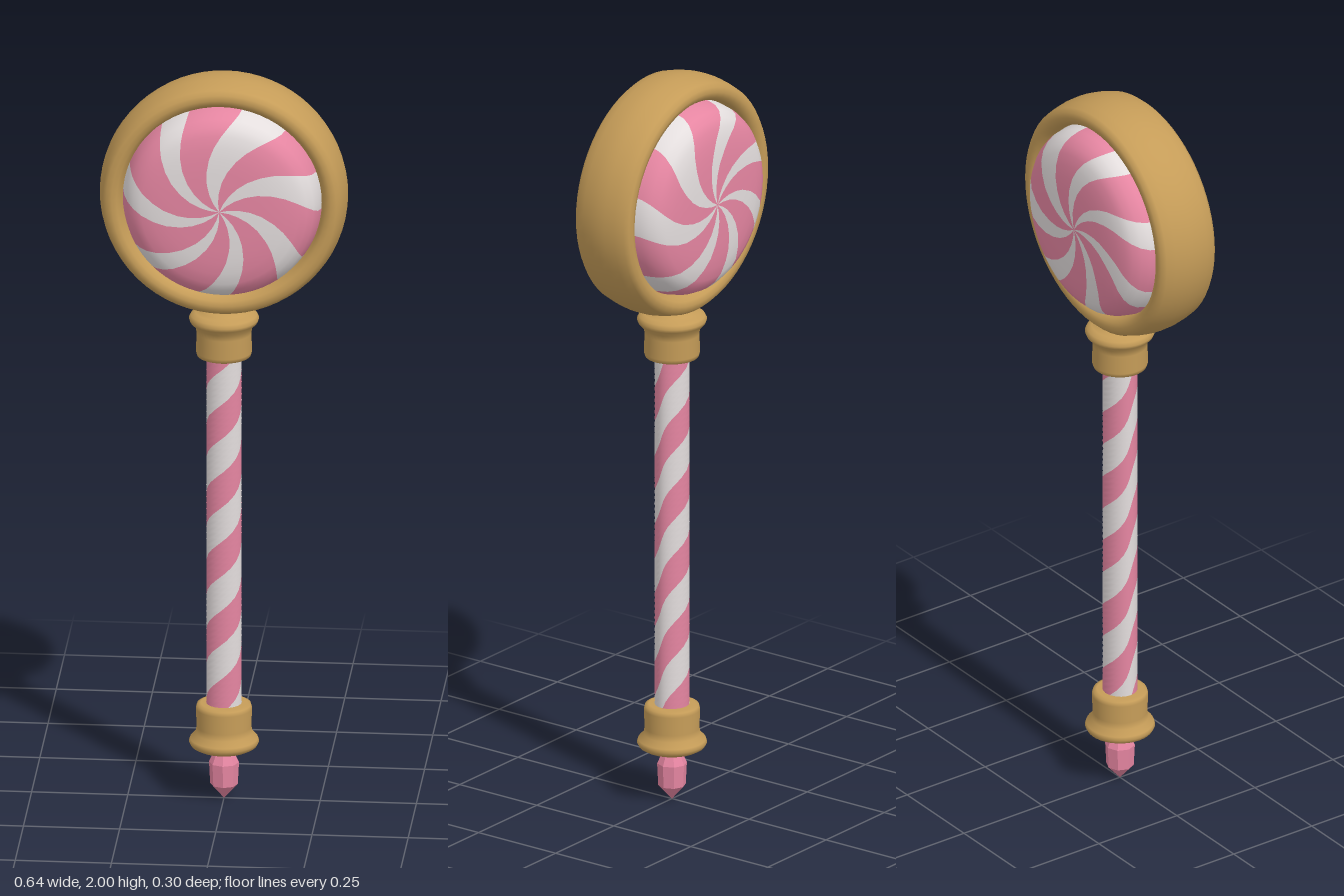
import * as THREE from 'three';

const pink = new THREE.MeshStandardMaterial({ color: 0xe686a2 });
const white = new THREE.MeshStandardMaterial({ color: 0xe4dede });
const gold = new THREE.MeshStandardMaterial({ color: 0xc59c58 });
pink.name = 'candyPink';
white.name = 'creamWhite';
gold.name = 'warmGold';

const rad = THREE.MathUtils.degToRad;

// Surface of revolution around z, cut into coloured stripes that turn from row to row.
// rows: [radius, z]; edges: ascending stripe borders, pink first and then alternating.
function stripedLathe(rows, edges, turn) {
  const steps = 6, angles = [];
  edges.forEach((e, i) => {
    const next = i + 1 < edges.length ? edges[i + 1] : edges[0] + Math.PI * 2;
    for (let s = 0; s < steps; s++) angles.push(e + ((next - e) * s) / steps);
  });
  const n = angles.length, pos = [], index = [];
  for (const [r, z] of rows) {
    for (const a of angles) {
      const t = turn(a, r, z);
      pos.push(r * Math.cos(t), r * Math.sin(t), z);
    }
  }
  const geo = new THREE.BufferGeometry();
  for (let stripe = 0; stripe < edges.length; stripe++) {
    const start = index.length;
    for (let c = stripe * steps; c < (stripe + 1) * steps; c++) {
      for (let k = 0; k < rows.length - 1; k++) {
        const a = k * n + c, b = k * n + ((c + 1) % n);
        index.push(a, b, b + n, a, b + n, a + n);
      }
    }
    geo.addGroup(start, index.length - start, stripe % 2);
  }
  geo.setAttribute('position', new THREE.Float32BufferAttribute(pos, 3));
  geo.setIndex(index);
  geo.computeVertexNormals();
  return geo;
}

function lathe(points, sides) {
  return new THREE.LatheGeometry(points.map(([x, y]) => new THREE.Vector2(x, y)), sides);
}

export function createModel() {
  const group = new THREE.Group();
  const add = (name, geo, mat) => {
    const mesh = new THREE.Mesh(geo, mat);
    mesh.name = name;
    group.add(mesh);
    return mesh;
  };
  const headY = 1.678;

  // Swirled candy disc, slightly uneven hand-made stripes
  const half = [[0, 0.148], [0.025, 0.148], [0.05, 0.148], [0.08, 0.1475], [0.11, 0.1465],
    [0.145, 0.145], [0.175, 0.141], [0.205, 0.135], [0.226, 0.124], [0.242, 0.107],
    [0.252, 0.086], [0.259, 0.05]];
  const discRows = [...half.map(([r, z]) => [r, -z]), [0.262, 0], ...half.slice().reverse()];
  const discEdges = [-170, -122, -72, -20, 34, 93, 142].flatMap(c => [rad(c - 15.5), rad(c + 15.5)]);
  const disc = add('candyDisc', stripedLathe(discRows, discEdges,
    (a, r, z) => a + Math.sign(z) * rad(52) * (1 - r / 0.262)), [pink, white]);
  disc.position.y = headY;

  // Gold hoop around the disc
  const hoop = [[0.258, 0.05], [0.263, 0.072], [0.272, 0.084], [0.285, 0.088], [0.299, 0.086],
    [0.309, 0.075], [0.316, 0.05], [0.321, 0.022]];
  const hoopPoints = [...hoop.map(([r, y]) => [r, -y]), [0.322, 0], ...hoop.slice().reverse()];
  const ring = add('goldHoop', lathe(hoopPoints, 64), gold);
  ring.rotation.x = Math.PI / 2;
  ring.position.y = headY;

  // Stick with two pink and two white helical stripes
  const pitch = 0.38, stickRows = [];
  for (let i = 0; i <= 64; i++) stickRows.push([0.046, 0.2 + (1.07 * i) / 64]);
  const stickEdges = [-45, 45, 135, 225].map(rad);
  const stick = add('stripedStick', stripedLathe(stickRows, stickEdges, (a, r, y) => {
    const t = a + ((y - 1.06) / pitch) * Math.PI * 2;
    return t + 0.28 * Math.sin(2 * t) - Math.PI / 2;
  }), [pink, white]);
  stick.rotation.x = -Math.PI / 2;

  // Flared collars at both ends, mirrored
  const collar = [[0, 1.225], [0.06, 1.225], [0.07, 1.229], [0.073, 1.24], [0.071, 1.29],
    [0.074, 1.307], [0.088, 1.322], [0.091, 1.331], [0.086, 1.341], [0.074, 1.348],
    [0.058, 1.35], [0.05, 1.362], [0, 1.364]];
  add('upperCollar', lathe(collar, 40), gold);
  const lower = collar.slice(0, -2).map(([r, y]) => [r, 1.49 - y]).reverse();
  add('lowerCollar', lathe([[0, 0.14], ...lower], 40), gold);

  // Faceted gem at the foot
  const gemGeo = lathe([[0, 0], [0.036, 0.04], [0.039, 0.1], [0.024, 0.132], [0, 0.15]], 8).toNonIndexed();
  gemGeo.computeVertexNormals();
  add('footGem', gemGeo, pink);

  return group;
}
